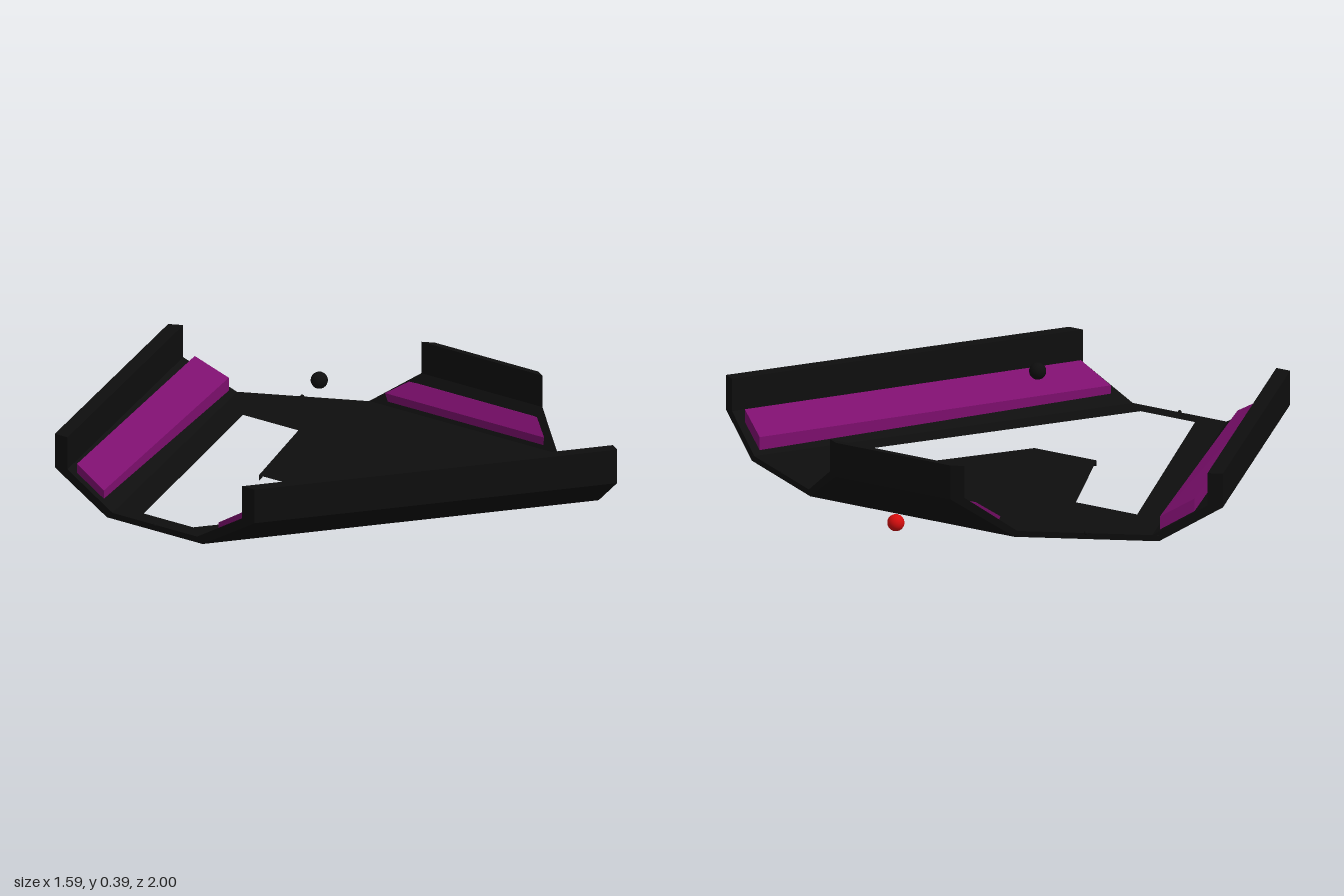
import * as THREE from 'three';

const mat = (name, color) => {
  const m = new THREE.MeshStandardMaterial({ color });
  m.name = name;
  return m;
};

// Solid strip with a (offset, height) profile, stretched between two end cuts.
// Each end maps an inward offset to [x, z].
function strip(profile, endA, endB) {
  const n = profile.length;
  const ring = (end) => profile.map(([d, y]) => {
    const [x, z] = end(d);
    return new THREE.Vector3(x, y, z);
  });
  const pts = [...ring(endA), ...ring(endB)];
  let faces = [];
  for (let i = 0; i < n; i++) {
    const j = (i + 1) % n;
    faces.push([i, j, j + n], [i, j + n, i + n]);
  }
  const flat = profile.map(([d, y]) => new THREE.Vector2(d, y));
  const ccw = !THREE.ShapeUtils.isClockWise(flat);
  for (const [a, b, c] of THREE.ShapeUtils.triangulateShape(flat, [])) {
    // keep cap winding consistent with the sides
    const p = flat[a], q = flat[b], r = flat[c];
    const pos = (q.x - p.x) * (r.y - p.y) - (q.y - p.y) * (r.x - p.x) > 0;
    const [u, v] = pos === ccw ? [b, c] : [c, b];
    faces.push([a, v, u], [a + n, u + n, v + n]);
  }
  // turn the solid outward if its signed volume is negative
  let volume = 0;
  for (const [a, b, c] of faces) volume += pts[a].dot(pts[b].clone().cross(pts[c]));
  if (volume < 0) faces = faces.map(([a, b, c]) => [a, c, b]);
  const geo = new THREE.BufferGeometry().setFromPoints(faces.flat().map((i) => pts[i]));
  geo.computeVertexNormals();
  return geo;
}

export function createModel() {
  const group = new THREE.Group();
  const black = mat('black', 0x0e0e0e);
  const purple = mat('purple', 0x7d0f6e);
  const red = mat('red', 0xd40d0d);
  const add = (name, geo, material, x = 0, y = 0, z = 0) => {
    const mesh = new THREE.Mesh(geo, material);
    mesh.name = name;
    mesh.position.set(x, y, z);
    group.add(mesh);
  };

  // Symmetric outline from the points of one half
  const mirrored = (half) => [...half, ...half.map(([x, z]) => [x, -z]).reverse()]
    .map(([x, z]) => new THREE.Vector2(x, z));

  // Floor plate with the arrow-shaped opening
  const floor = new THREE.Shape(mirrored([[-0.79, 0.213], [0.44, 0.82], [0.675, 0.41]]));
  floor.holes.push(new THREE.Path(
    mirrored([[-0.725, 0.11], [0.28, 0.615], [0.28, 0.368], [-0.165, 0.125]])));
  const floorGeo = new THREE.ExtrudeGeometry(floor, { depth: 0.02, bevelEnabled: false });
  floorGeo.rotateX(Math.PI / 2);
  add('floorPlate', floorGeo, black, 0, 0.05, 0);

  // Long side flaps with their purple panels
  const sideProfile = [[0, 0.264], [0, 0.15], [0.208, 0.03], [0.23, 0.05], [0.05, 0.155], [0.05, 0.264]];
  const sidePanel = [[0, 0.17], [1, 0.105], [1, 0.06], [0, 0.12]];
  for (const s of [1, -1]) {
    const side = s > 0 ? 'front' : 'back';
    add(side + 'Flap', strip(sideProfile,
      (d) => [-0.79, s * (0.445 - d * 1.115)],
      (d) => [0.335 + d * 0.5, s * (1 - d * 0.866)]), black);
    add(side + 'Panel', strip(sidePanel,
      (d) => [-0.76, s * (0.375 - d * 0.12)],
      (d) => [0.36 + d * 0.055, s * (0.905 - d * 0.1)]), purple);
  }

  // Short end flap with its panel
  const endProfile = [[0, 0.264], [0, 0.15], [0.105, 0.03], [0.11, 0.05], [0.023, 0.157], [0.023, 0.264]];
  const endPanel = [[0.105, 0.09], [0.065, 0.135], [0.05, 0.13], [0.1, 0.06]];
  const endCut = (s, z) => (d) => [0.78 - d, s * (z + d * 1.73)];
  add('endFlap', strip(endProfile, endCut(1, 0.23), endCut(-1, 0.23)), black);
  add('endPanel', strip(endPanel, endCut(1, 0.173), endCut(-1, 0.173)), purple);

  // Marker balls and tiny edge nubs
  const ball = new THREE.SphereGeometry(0.028, 24, 16);
  add('floatingBall', ball, black, -0.012, 0.365, 0);
  add('endBall', ball, red, 0.765, 0.03, 0);
  const nub = new THREE.SphereGeometry(0.007, 10, 8);
  for (const [x, z] of [[-0.79, 0], [0.557, 0.612], [0.557, -0.612]]) {
    add('edgeNub', nub, black, x, 0.05, z);
  }
  return group;
}
